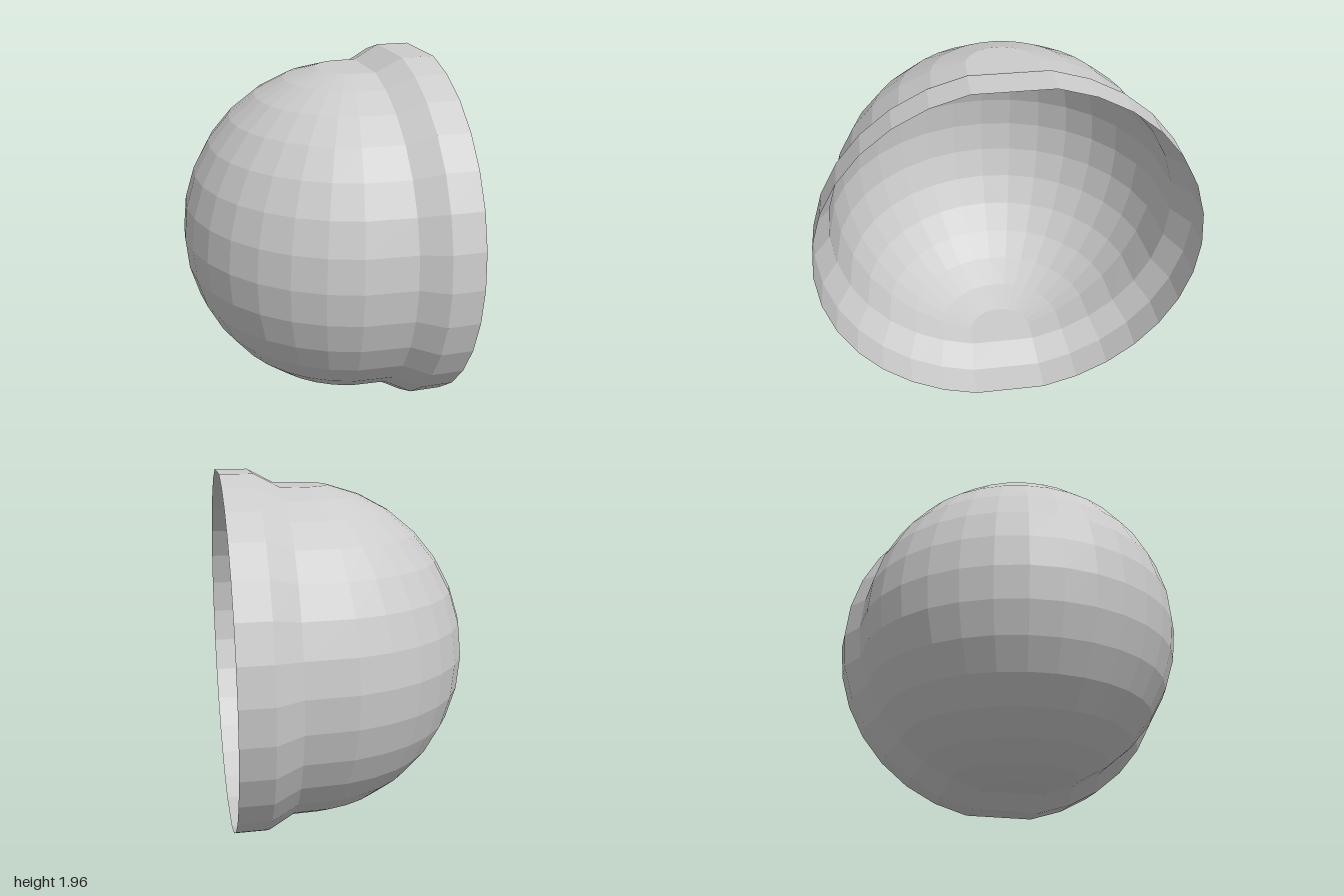
import * as THREE from 'three';

const STEP = Math.PI / 16;
const CENTRE = { x: 0.26, y: 0.981 };
const DOME_R = 0.925, RIM_R = 1;

// One upright column of points; the first and last lie on the middle line of the flat caps.
function column(radius, angle, fixedX) {
  const points = [];
  for (let j = -7; j <= 7; j++) {
    const r = radius * Math.cos(j * STEP);
    points.push(new THREE.Vector3(
      fixedX ?? CENTRE.x - r * Math.sin(angle),
      CENTRE.y + radius * Math.sin(j * STEP),
      r * Math.cos(angle)
    ));
  }
  const bottom = points[0].clone().setZ(0);
  const top = points[points.length - 1].clone().setZ(0);
  return [bottom, ...points, top];
}

// Flat-shaded skin stretched across neighbouring columns.
function addSkin(positions, columns) {
  const triangle = (a, b, c) => {
    if (new THREE.Triangle(a, b, c).getArea() < 1e-7) return;
    for (const p of [a, b, c]) positions.push(p.x, p.y, p.z);
  };
  for (let i = 0; i < columns.length - 1; i++) {
    const a = columns[i], b = columns[i + 1];
    for (let j = 0; j < a.length - 1; j++) {
      triangle(a[j], a[j + 1], b[j]);
      triangle(b[j], a[j + 1], b[j + 1]);
    }
  }
}

function skinMesh(name, strips) {
  const positions = [];
  strips.forEach(columns => addSkin(positions, columns));
  const geometry = new THREE.BufferGeometry();
  geometry.setAttribute('position', new THREE.Float32BufferAttribute(positions, 3));
  geometry.computeVertexNormals();
  const mesh = new THREE.Mesh(geometry, new THREE.MeshStandardMaterial({
    color: 0xcccccc, flatShading: true, side: THREE.DoubleSide
  }));
  mesh.name = name;
  return mesh;
}

export function createModel() {
  const group = new THREE.Group();
  group.name = 'openDomeShell';

  // Half sphere, its last column on each side drawn out to the collar
  const dome = [];
  for (let i = 0; i <= 16; i++) {
    dome.push(column(DOME_R, i * STEP, i % 16 === 0 ? 0.35 : undefined));
  }
  group.add(skinMesh('dome', [dome]));

  // Flared step and straight rim around the open end
  const side = angle => [
    column(RIM_R, angle, 0.665),
    column(RIM_R, angle, 0.49),
    column(DOME_R, angle, 0.35)
  ];
  group.add(skinMesh('collar', [side(0), side(Math.PI).reverse()]));

  return group;
}
